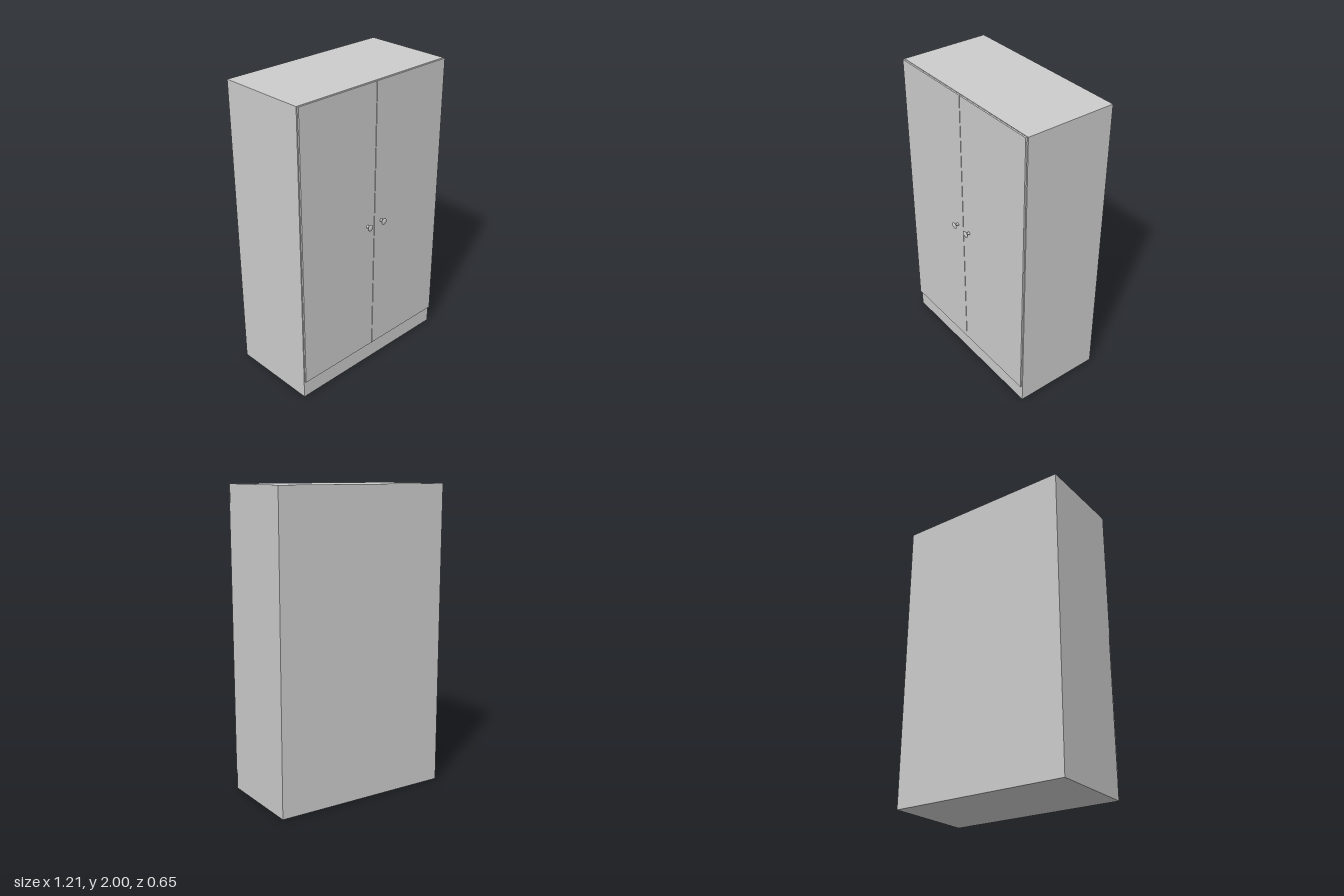
import * as THREE from 'three';

const WIDTH = 1.21, HEIGHT = 2, BACK = -0.327, FRONT = 0.277;
const PLINTH = 0.125, DOOR_W = 0.599, DOOR_T = 0.011, DOOR_BACK = 0.281;

export function createModel() {
  const group = new THREE.Group();
  const material = new THREE.MeshStandardMaterial({ color: 0xcccccc });

  const add = (name, geometry, x, y, z) => {
    const mesh = new THREE.Mesh(geometry, material);
    mesh.name = name;
    mesh.position.set(x, y, z);
    group.add(mesh);
  };

  // Carcass, whose lower front shows as the plinth
  add('carcass', new THREE.BoxGeometry(WIDTH, HEIGHT, FRONT - BACK), 0, HEIGHT / 2, (FRONT + BACK) / 2);

  // Turned knob: foot, thin neck, flared head with a shallow dome
  const profile = [
    [0, 0], [0.011, 0], [0.011, 0.002], [0.0075, 0.005], [0.007, 0.011], [0.009, 0.016],
    [0.015, 0.021], [0.021, 0.025], [0.022, 0.027], [0.021, 0.029], [0.015, 0.032], [0.008, 0.034], [0, 0.0345],
  ].map(([r, h]) => new THREE.Vector2(r, h));
  const knob = new THREE.LatheGeometry(profile, 24).rotateX(Math.PI / 2);
  const door = new THREE.BoxGeometry(DOOR_W, HEIGHT - PLINTH, DOOR_T);
  const doorY = (HEIGHT + PLINTH) / 2;

  // Pair of doors standing just clear of the carcass, each with a knob
  for (const [side, s] of [['left', 1], ['right', -1]]) {
    add(`${side}Door`, door, s * (DOOR_W / 2 + 0.002), doorY, DOOR_BACK + DOOR_T / 2);
    add(`${side}Knob`, knob, s * 0.061, doorY, DOOR_BACK + DOOR_T);
  }
  return group;
}
